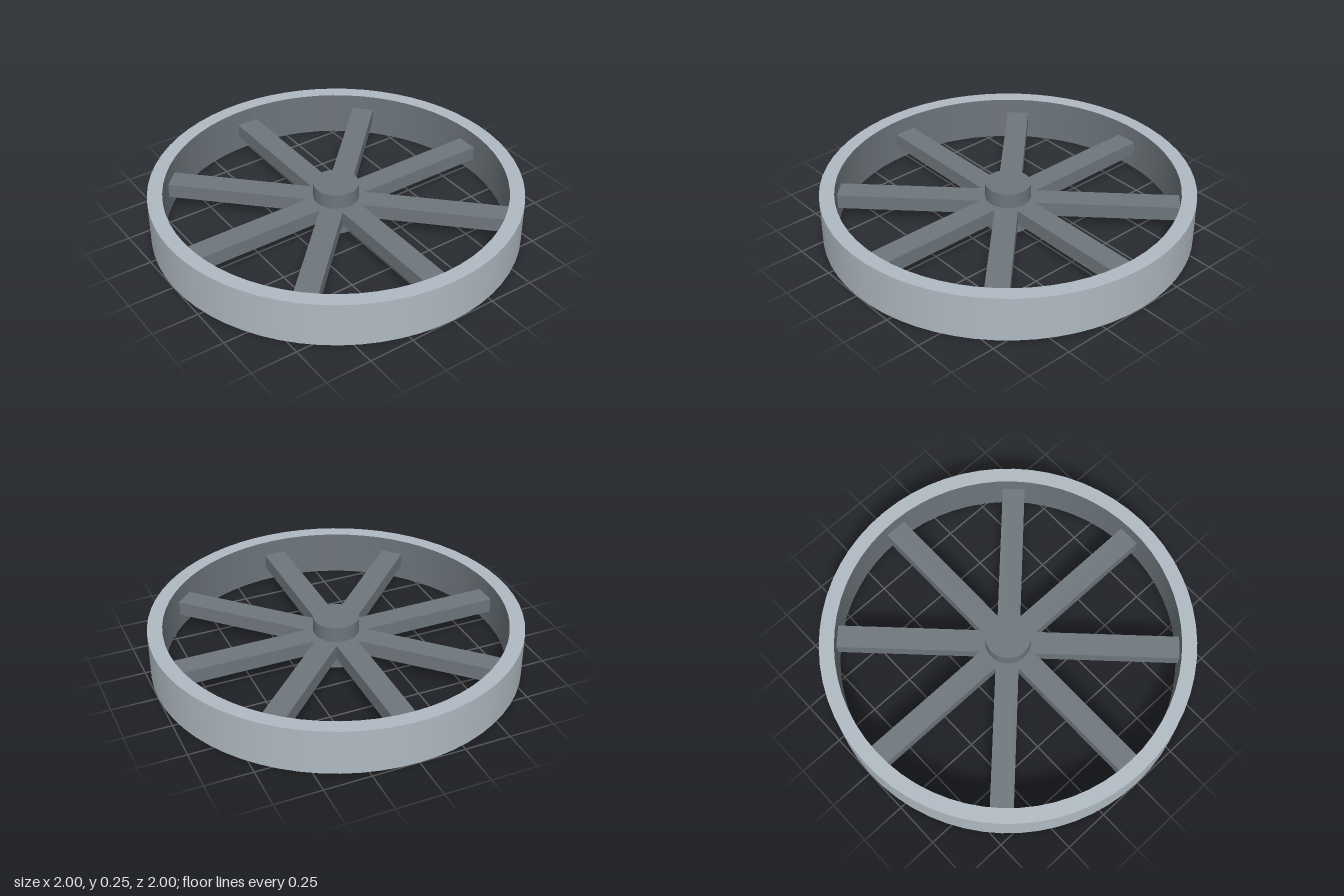
import * as THREE from 'three';

export function createModel() {
  const model = new THREE.Group();
  model.name = 'spokedWheel';

  const rimGrey = new THREE.MeshStandardMaterial({ color: 0xb0bac2 });
  rimGrey.name = 'light grey';
  const spokeGrey = new THREE.MeshStandardMaterial({ color: 0x6e767c });
  spokeGrey.name = 'dark grey';

  const height = 0.25, outer = 1, inner = 0.92, segments = 64;

  const add = (name, geometry, material, y = height / 2) => {
    const mesh = new THREE.Mesh(geometry, material);
    mesh.name = name;
    mesh.position.y = y;
    model.add(mesh);
    return mesh;
  };

  // Rim: light outer wall and flat edges, dark inner wall
  add('rimOuterWall', new THREE.CylinderGeometry(outer, outer, height, segments, 1, true), rimGrey);
  const liner = new THREE.CylinderGeometry(inner, inner, height, segments, 1, true);
  liner.scale(1, 1, -1); // mirroring turns the wall inwards
  const normals = liner.attributes.normal;
  for (let i = 0; i < normals.count; i++) {
    normals.setXYZ(i, -normals.getX(i), 0, -normals.getZ(i));
  }
  // restore the corner order so that the wall faces the hub
  const index = liner.index;
  const position = liner.attributes.position;
  const a = new THREE.Vector3(), b = new THREE.Vector3(), c = new THREE.Vector3();
  for (let i = 0; i < index.count; i += 3) {
    const [p, q, r] = [0, 1, 2].map((k) => index.getX(i + k));
    a.fromBufferAttribute(position, p);
    b.fromBufferAttribute(position, q).sub(a);
    c.fromBufferAttribute(position, r).sub(a);
    if (b.cross(c).dot(a.setY(0)) > 0) {
      index.setX(i + 1, r);
      index.setX(i + 2, q);
    }
  }
  add('rimInnerWall', liner, spokeGrey);
  for (const [name, y, turn] of [['rimTopEdge', height, -1], ['rimBottomEdge', 0, 1]]) {
    const edge = new THREE.RingGeometry(inner, outer, segments);
    edge.rotateX(turn * Math.PI / 2);
    add(name, edge, rimGrey, y);
  }

  // Hub
  add('hub', new THREE.CylinderGeometry(0.123, 0.123, height, 32), spokeGrey);

  // Four bars crossing at the hub make eight spokes
  for (let i = 0; i < 4; i++) {
    const bar = add('spokePair', new THREE.BoxGeometry(1.835, 0.08, 0.123), spokeGrey);
    bar.rotation.y = i * Math.PI / 4;
  }
  return model;
}
